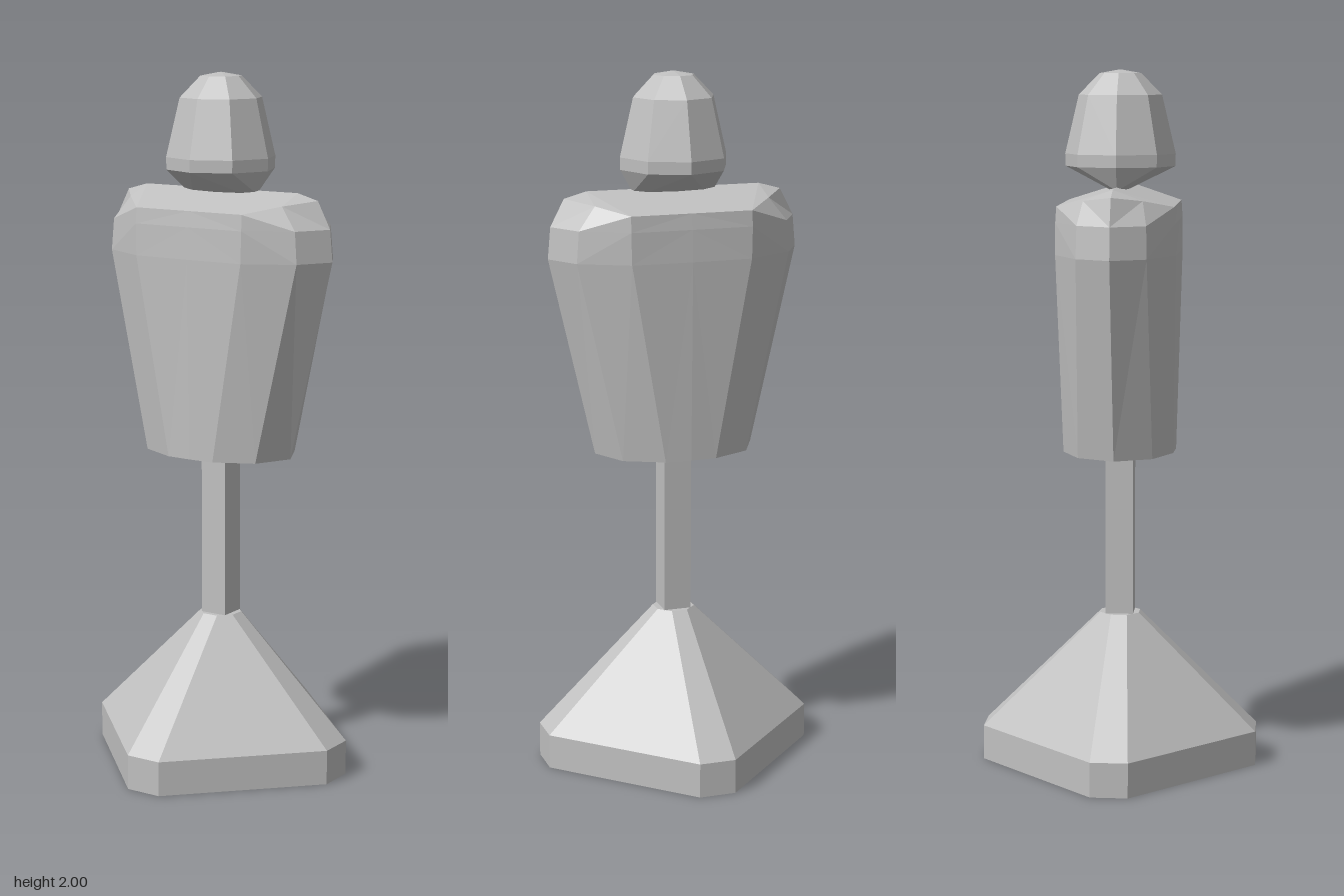
import * as THREE from 'three';

// Expands one quadrant of [x, z] points to a full ring, anticlockwise from above.
// onAxes: the first point lies on the x axis and the last on the z axis.
function ring(y, quarter, onAxes = true) {
  const ys = (p) => (p.length > 2 ? p[2] : y);
  const out = [];
  [[1, -1], [-1, -1], [-1, 1], [1, 1]].forEach(([sx, sz], k) => {
    const pts = k % 2 ? [...quarter].reverse() : [...quarter];
    if (onAxes) pts.pop(); // shared with the next quadrant
    pts.forEach((p) => out.push(new THREE.Vector3(sx * p[0], ys(p), sz * p[1])));
  });
  return out;
}

const octagon = (y, rx, rz = rx) => ring(y, [[rx, 0], [rx * Math.SQRT1_2, rz * Math.SQRT1_2], [0, rz]]);

// Skins rings from bottom to top and closes both ends, with hard facets.
function loft(name, rings, material) {
  const centre = (r) => r.map(() => new THREE.Vector3(0, r[0].y, 0));
  const all = [centre(rings[0]), ...rings, centre(rings[rings.length - 1])];
  const pos = [];
  const tri = new THREE.Triangle();
  const add = (a, b, c) => {
    if (tri.set(a, b, c).getArea() > 1e-7) [a, b, c].forEach((v) => pos.push(v.x, v.y, v.z));
  };
  for (let i = 0; i < all.length - 1; i++) {
    const lo = all[i], hi = all[i + 1], n = lo.length;
    for (let j = 0; j < n; j++) {
      const k = (j + 1) % n;
      // diagonals mirror between quadrants
      if (Math.floor((j * 4) / n) % 2) {
        add(lo[j], lo[k], hi[j]);
        add(lo[k], hi[k], hi[j]);
      } else {
        add(lo[j], lo[k], hi[k]);
        add(lo[j], hi[k], hi[j]);
      }
    }
  }
  const geometry = new THREE.BufferGeometry();
  geometry.setAttribute('position', new THREE.Float32BufferAttribute(pos, 3));
  geometry.computeVertexNormals();
  const mesh = new THREE.Mesh(geometry, material);
  mesh.name = name;
  return mesh;
}

export function createModel() {
  const group = new THREE.Group();
  group.name = 'bustOnStand';
  const grey = new THREE.MeshStandardMaterial({ color: 0xc0c0c0 });
  grey.name = 'plain grey';

  // Chamfered diamond foot rising to a narrow collar
  const foot = [[0.397, 0.053], [0.053, 0.397]];
  group.add(loft('base', [
    ring(0, foot, false),
    ring(0.1, foot, false),
    ring(0.44, [[0.056, 0.023], [0.023, 0.056]], false),
  ], grey));

  // Square pole
  const pole = new THREE.Mesh(new THREE.BoxGeometry(0.08, 0.52, 0.08), grey);
  pole.name = 'pole';
  pole.position.y = 0.69;
  group.add(pole);

  // Tapered torso with bevelled shoulders and a ridge along the top
  group.add(loft('torso', [
    ring(0.92, [[0.236, 0], [0.185, 0.105], [0.075, 0.157], [0, 0.16]]),
    ring(1.49, [[0.368, 0], [0.312, 0.097], [0.175, 0.168], [0, 0.172]]),
    ring(1.58, [[0.36, 0], [0.305, 0.095], [0.177, 0.167], [0, 0.169]]),
    ring(1.625, [[0.32, 0, 1.657], [0.255, 0.082, 1.645], [0.176, 0.164], [0, 0.164]]),
    ring(1.675, [[0.255, 0], [0.255, 0], [0.255, 0], [0, 0]]),
  ], grey));

  // Faceted head, its underside pinched onto the shoulder ridge
  group.add(loft('head', [
    octagon(1.665, 0.12, 0.025),
    octagon(1.73, 0.156),
    octagon(1.765, 0.157),
    octagon(1.93, 0.118),
    octagon(1.99, 0.059),
    octagon(2.0, 0.004),
  ], grey));

  return group;
}
